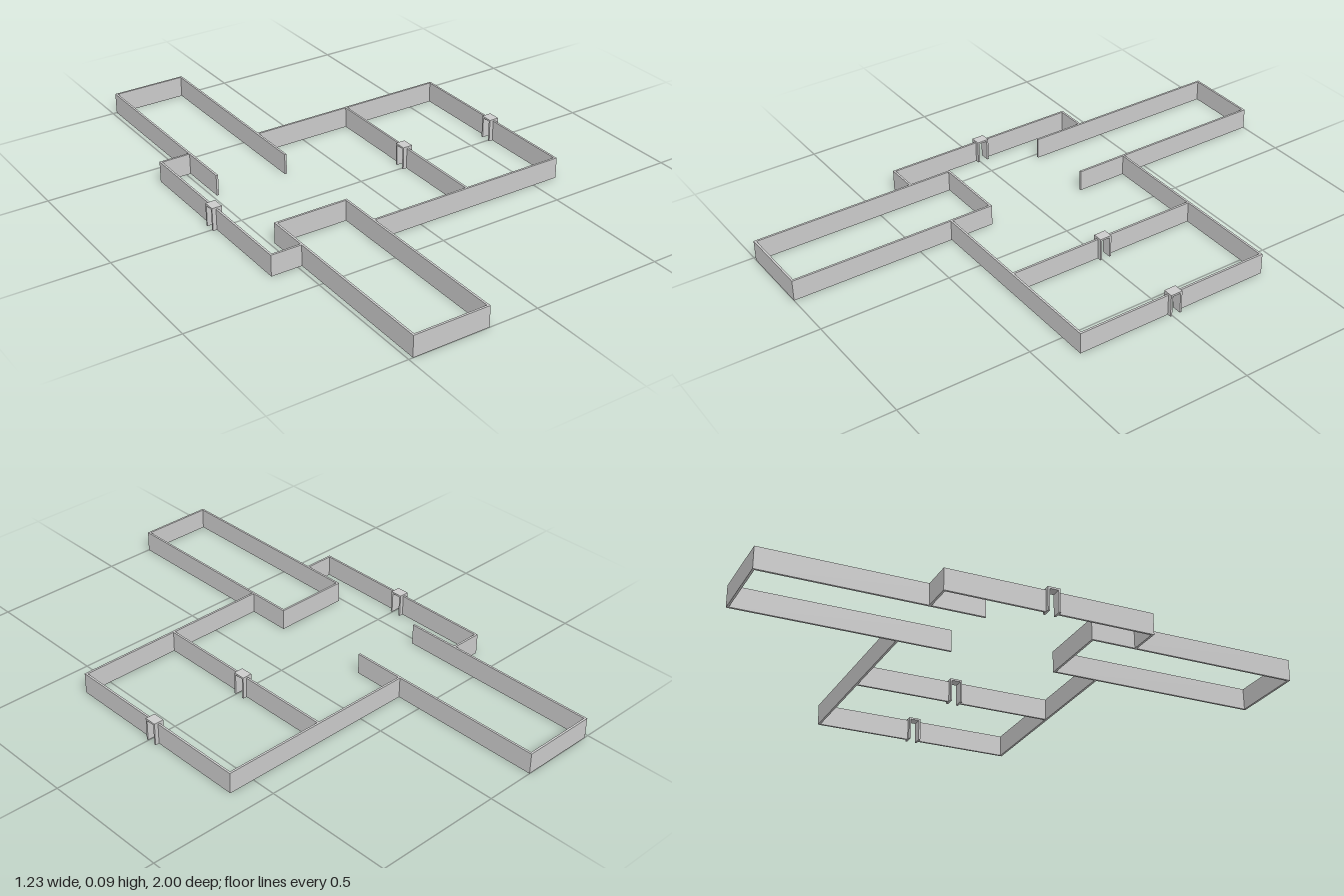
import * as THREE from 'three';

const T = 0.008; // wall thickness
const H = 0.081; // wall height

export function createModel() {
  const model = new THREE.Group();
  const material = new THREE.MeshStandardMaterial({ color: 0xcccccc });

  // Box given by its extents on each axis
  function box(parent, name, x0, x1, y0, y1, z0, z1) {
    const mesh = new THREE.Mesh(new THREE.BoxGeometry(x1 - x0, y1 - y0, z1 - z0), material);
    mesh.position.set((x0 + x1) / 2, (y0 + y1) / 2, (z0 + z1) / 2);
    mesh.name = name;
    parent.add(mesh);
  }
  const wallX = (parent, name, x0, x1, z) => box(parent, name, x0, x1, 0, H, z - T / 2, z + T / 2);
  const wallZ = (parent, name, x, z0, z1) => box(parent, name, x - T / 2, x + T / 2, 0, H, z0, z1);

  const left = -0.48, right = -0.196; // wing wall centre lines
  const back = -0.4, front = 0.366; // hall wall centre lines
  const doorBack = -0.038, doorFront = 0.009;

  // Back wing, open towards the hall
  const backWing = new THREE.Group();
  backWing.name = 'backWing';
  wallZ(backWing, 'sideWall', left, -1, -0.2);
  wallZ(backWing, 'sideWall', right, -1, -0.2);
  wallX(backWing, 'endWall', left + T / 2, right - T / 2, -1 + T / 2);

  // Front wing, closed at both ends
  const frontWing = new THREE.Group();
  frontWing.name = 'frontWing';
  wallZ(frontWing, 'sideWall', left, 0.196, 1);
  wallZ(frontWing, 'sideWall', right, 0.196, 1);
  wallX(frontWing, 'endWall', left + T / 2, right - T / 2, 1 - T / 2);
  wallX(frontWing, 'innerWall', left + T / 2, right - T / 2, 0.2);

  // Hall: long walls broken by the wings
  const hall = new THREE.Group();
  hall.name = 'hall';
  for (const z of [back, front]) {
    wallX(hall, 'shortWall', -0.602, left - T / 2, z);
    wallX(hall, 'longWall', right + T / 2, 0.602, z);
  }

  // Cross walls, each with a framed doorway
  for (const x of [-0.598, 0.199, 0.598]) {
    wallZ(hall, 'crossWall', x, back + T / 2, doorBack);
    wallZ(hall, 'crossWall', x, doorFront, front - T / 2);
    const frame = new THREE.Group();
    frame.name = 'doorFrame';
    const x0 = x - 0.019, x1 = x + 0.019, post = 0.007, top = 0.088;
    box(frame, 'doorPost', x0, x1, 0, top - post, doorBack, doorBack + post);
    box(frame, 'doorPost', x0, x1, 0, top - post, doorFront - post, doorFront);
    box(frame, 'lintel', x0, x1, top - post, top, doorBack, doorFront);
    hall.add(frame);
  }

  model.add(backWing, frontWing, hall);
  return model;
}
